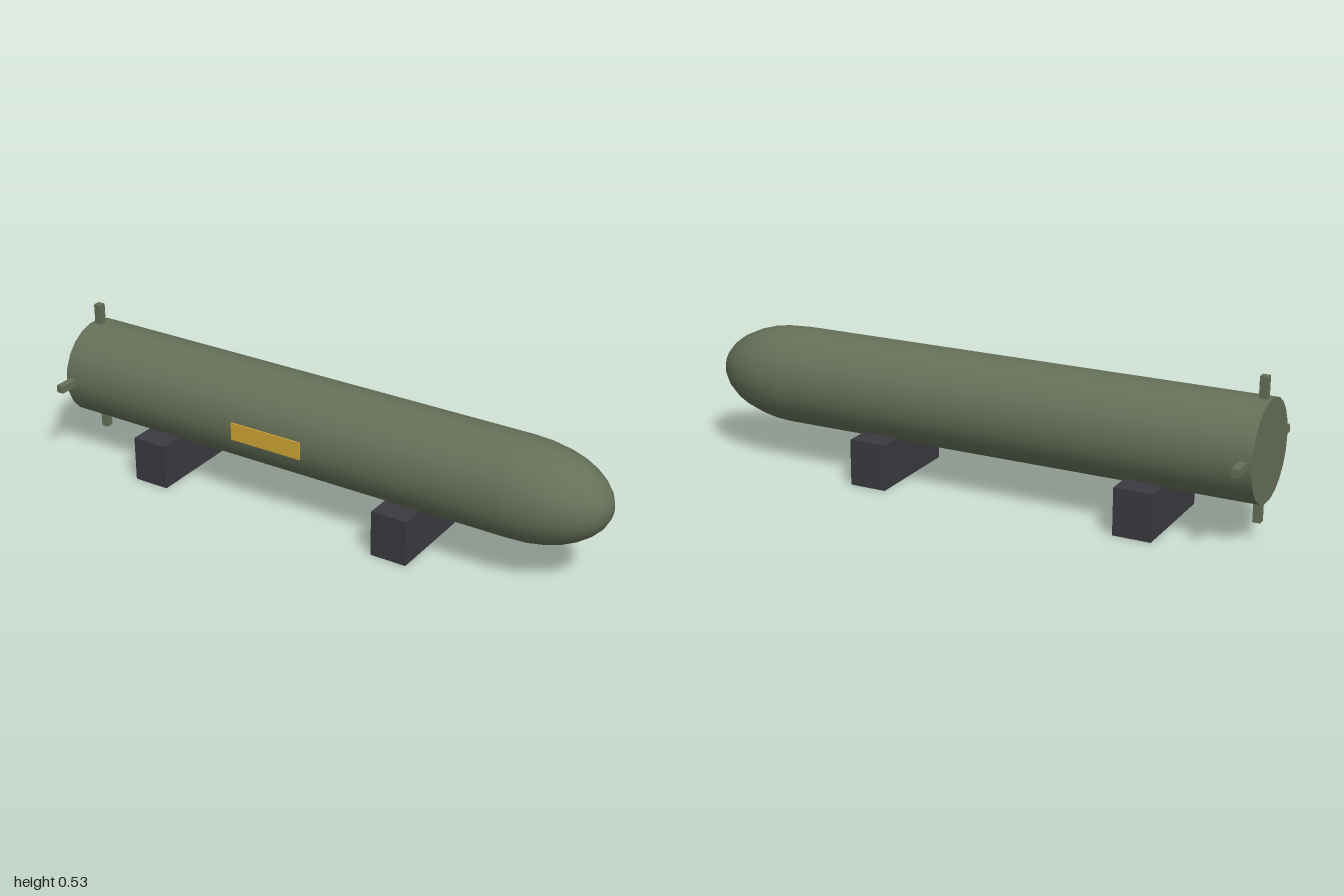
import * as THREE from 'three';

export function createModel() {
  const model = new THREE.Group();
  const olive = new THREE.MeshStandardMaterial({ name: 'olive', color: 0x667058 });
  const darkGrey = new THREE.MeshStandardMaterial({ name: 'darkGrey', color: 0x3b3a40 });
  const yellow = new THREE.MeshStandardMaterial({ name: 'yellow', color: 0xd2aa35 });

  const R = 0.168, AXIS = 0.294, SIDES = 22, NOSE = 0.3;

  const add = (name, geometry, material, x, y, z) => {
    const mesh = new THREE.Mesh(geometry, material);
    mesh.name = name;
    mesh.position.set(x, y, z);
    model.add(mesh);
    return mesh;
  };
  const box = (name, material, size, pos) =>
    add(name, new THREE.BoxGeometry(...size), material, ...pos);

  // Cylindrical body lying along x
  const bodyLength = 2 - NOSE;
  add('body', new THREE.CylinderGeometry(R, R, bodyLength, SIDES).rotateZ(-Math.PI / 2).rotateX(Math.PI / 2 + Math.PI / 2),
    olive, -1 + bodyLength / 2, AXIS, 0);

  // Elliptical nose, turned from base to tip
  const profile = [];
  for (let i = 0; i <= 8; i++) {
    const a = (i / 8) * Math.PI / 2;
    profile.push(new THREE.Vector2(i === 8 ? 0 : R * Math.cos(a), NOSE * Math.sin(a)));
  }
  add('nose', new THREE.LatheGeometry(profile, SIDES).rotateZ(-Math.PI / 2), olive, 1 - NOSE, AXIS, 0);

  // Four tail fins, sunk slightly into the body
  const inner = 0.15, outer = 0.237, mid = (inner + outer) / 2;
  for (const s of [1, -1]) {
    box('verticalFin', olive, [0.026, outer - inner, 0.026], [-0.973, AXIS + s * mid, 0]);
    box('sideFin', olive, [0.026, 0.026, outer - inner], [-0.973, AXIS, s * mid]);
  }

  // Support blocks
  for (const x of [-0.63, 0.325]) box('cradle', darkGrey, [0.13, 0.16, 0.372], [x, 0.08, 0]);

  // Marking plate on the front side
  box('markingPlate', yellow, [0.27, 0.062, 0.005], [-0.153, 0.294, 0.176]);

  return model;
}
